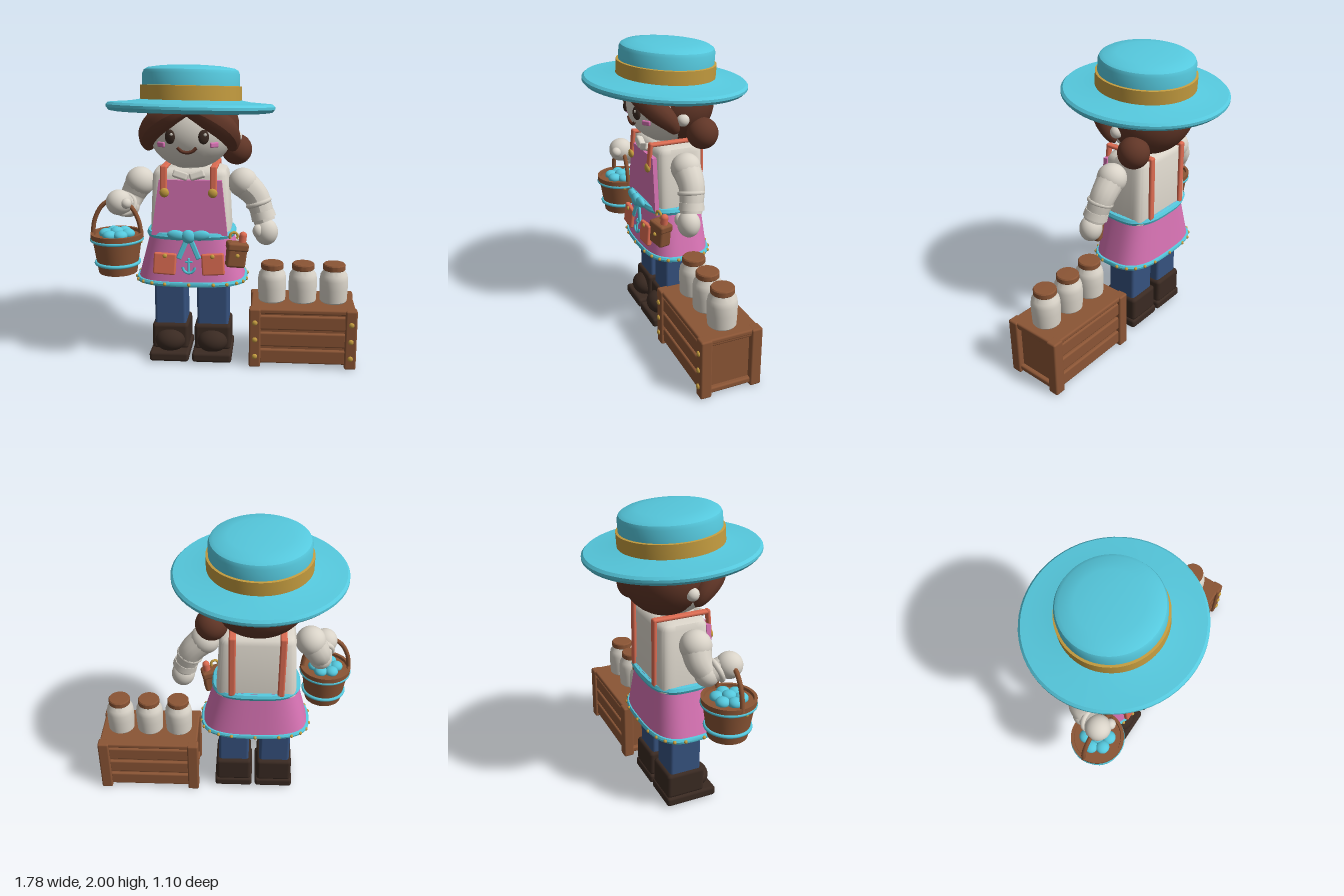
import * as THREE from 'three';
import { toCreasedNormals } from 'three/addons/utils/BufferGeometryUtils.js';
import { RoundedBoxGeometry } from 'three/addons/geometries/RoundedBoxGeometry.js';

const mat = (name, color) => Object.assign(new THREE.MeshStandardMaterial({ color }), { name });
const M = {
  aqua: mat('aqua', 0x55c8dd), pink: mat('pink', 0xd873b4), coral: mat('coral', 0xdd6c52),
  wood: mat('wood', 0x8b5535), hair: mat('hair brown', 0x613627), boot: mat('dark leather', 0x3a2a22),
  denim: mat('denim', 0x36527f), cream: mat('cream', 0xd9d3c8), gold: mat('gold', 0xc49c3f),
};
const V = (p) => new THREE.Vector3(...p);

function add(parent, name, geo, material, pos = [0, 0, 0], rot = [0, 0, 0]) {
  const m = new THREE.Mesh(geo, material);
  m.name = name;
  m.position.set(...pos);
  m.rotation.set(...rot);
  parent.add(m);
  return m;
}
const group = (parent, name, pos = [0, 0, 0], rot = [0, 0, 0]) => {
  const g = new THREE.Group();
  g.name = name;
  g.position.set(...pos);
  g.rotation.set(...rot);
  parent.add(g);
  return g;
};
const box = (w, h, d, r = 0.012) => new RoundedBoxGeometry(w, h, d, 2, r);
const ball = (rx, ry = rx, rz = rx) => new THREE.SphereGeometry(1, 28, 20).scale(rx, ry, rz);
const lathe = (pts, n = 48) => toCreasedNormals(new THREE.LatheGeometry(pts.map((p) => new THREE.Vector2(...p)), n), 0.6);
const ring = (r, t) => new THREE.TorusGeometry(r, t, 10, 40).rotateX(Math.PI / 2);

// Tube along a curve whose radius follows a rule
function taper(pts, radius, n = 24) {
  const curve = new THREE.CatmullRomCurve3(pts.map(V));
  const g = new THREE.TubeGeometry(curve, n, 1, 14);
  const pos = g.attributes.position, v = new THREE.Vector3();
  for (let i = 0; i < pos.count; i++) {
    const t = Math.floor(i / 15) / n, c = curve.getPointAt(t);
    v.fromBufferAttribute(pos, i).sub(c).multiplyScalar(radius(t)).add(c);
    pos.setXYZ(i, v.x, v.y, v.z);
  }
  g.computeVertexNormals();
  return g;
}
const bulge = (r, p = 0.5) => (t) => r * Math.pow(Math.max(0, Math.sin(Math.PI * t)), p);

// Point on a rounded-rectangle outline
const outline = (a, rx, rz, e) => {
  const c = Math.cos(a), s = Math.sin(a);
  return [rx * Math.sign(c) * Math.abs(c) ** (2 / e), rz * Math.sign(s) * Math.abs(s) ** (2 / e)];
};
// Stack of rounded-rectangle sections [y, half width, half depth]
function loft(sections, e = 3, n = 64) {
  const pos = [], idx = [];
  for (const [y, rx, rz] of sections)
    for (let j = 0; j < n; j++) {
      const [x, z] = outline((j / n) * 2 * Math.PI, rx, rz, e);
      pos.push(x, y, z);
    }
  for (let i = 0; i < sections.length - 1; i++)
    for (let j = 0; j < n; j++) {
      const k = (j + 1) % n, a = i * n + j, b = a + n, c = (i + 1) * n + k, d = i * n + k;
      idx.push(a, b, d, b, c, d);
    }
  const g = new THREE.BufferGeometry();
  g.setAttribute('position', new THREE.Float32BufferAttribute(pos, 3));
  g.setIndex(idx);
  g.computeVertexNormals();
  return toCreasedNormals(g, 0.7);
}
const plate = (pts, depth) => new THREE.ExtrudeGeometry(new THREE.Shape(pts.map((p) => new THREE.Vector2(...p))), { depth, bevelEnabled: false });

function buildHat(f) {
  const hat = group(f, 'hat', [0, 1.725, 0], [-0.065, 0, -0.015]);
  add(hat, 'hatBrimAndCrown', lathe([[0, -0.035], [0.3, -0.035], [0.5, -0.03], [0.535, -0.025], [0.553, -0.005], [0.553, 0.012],
    [0.538, 0.027], [0.5, 0.03], [0.4, 0.037], [0.325, 0.05], [0.318, 0.13], [0.318, 0.215], [0.308, 0.238], [0.285, 0.252], [0.2, 0.265], [0.1, 0.271], [0, 0.272]], 64), M.aqua);
  add(hat, 'hatBand', lathe([[0.315, 0.043], [0.333, 0.046], [0.333, 0.138], [0.315, 0.141]], 64), M.gold);
}

function buildHead(f) {
  const head = group(f, 'head');
  add(head, 'face', ball(0.285, 0.26, 0.265), M.cream, [0, 1.58, 0]);
  add(head, 'backHair', ball(0.315, 0.275, 0.265), M.hair, [0, 1.6, -0.06]);
  add(head, 'hairBun', ball(0.105), M.hair, [0.295, 1.43, -0.14]);
  add(head, 'hairTie', new THREE.TorusGeometry(0.05, 0.02, 10, 24), M.aqua, [0.225, 1.46, -0.13], [0, Math.PI / 2, 0]);
  for (const s of [-1, 1]) {
    add(head, 'fringe', taper([[-0.04 * s, 1.745, 0.23], [0.1 * s, 1.7, 0.235], [0.225 * s, 1.61, 0.165], [0.275 * s, 1.52, 0.08], [0.275 * s, 1.44, 0.03]], bulge(0.082)), M.hair);
    add(head, 'ear', ball(0.042), M.cream, [0.295 * s, 1.535, 0]);
    add(head, 'eye', ball(0.035, 0.046, 0.018), M.boot, [0.107 * s, 1.56, 0.246], [0, 0.35 * s, 0]);
    add(head, 'eyeGlint', ball(0.01, 0.01, 0.005), M.cream, [0.107 * s + 0.012, 1.577, 0.263]);
    add(head, 'cheek', box(0.062, 0.034, 0.02, 0.009), M.pink, [0.17 * s, 1.505, 0.204], [0, 0.65 * s, 0]);
  }
  add(head, 'smile', taper([[-0.062, 1.492, 0.243], [-0.035, 1.468, 0.243], [0, 1.46, 0.243], [0.035, 1.468, 0.243], [0.062, 1.492, 0.243]], () => 0.011), M.hair);
}

function buildBody(f) {
  const body = group(f, 'body');
  add(body, 'shirt', loft([[0.88, 0, 0], [0.88, 0.272, 0.175], [1.29, 0.25, 0.165], [1.32, 0.235, 0.15], [1.335, 0.2, 0.12], [1.335, 0, 0]], 6), M.cream, [0, 0, -0.012]);
  add(body, 'neck', new THREE.CylinderGeometry(0.1, 0.1, 0.08, 24), M.cream, [0, 1.34, 0]);
  add(body, 'apronBib', plate([[-0.262, 0.9], [0.242, 0.9], [0.205, 1.27], [-0.205, 1.27]], 0.03), M.pink, [0.01, 0, 0.153]);
  for (const s of [-1, 1]) {
    add(body, 'collar', box(0.1, 0.05, 0.05), M.cream, [0.055 * s, 1.3, 0.165], [-0.3, 0, 0.3 * s]);
    add(body, 'frontStrap', box(0.046, 0.18, 0.025), M.coral, [0.163 * s, 1.275, 0.182], [-0.1, 0, 0]);
    add(body, 'shoulderStrap', box(0.046, 0.025, 0.38), M.coral, [0.163 * s, 1.348, -0.01]);
    add(body, 'backStrap', box(0.046, 0.46, 0.025), M.coral, [0.163 * s, 1.13, -0.19]);
    add(body, 'strapButton', ball(0.031, 0.031, 0.018), M.gold, [0.158 * s, 1.19, 0.198]);
  }
  // Apron skirt, belt and studded hem
  add(body, 'apronSkirt', loft([[0.57, 0.366, 0.228], [0.92, 0.272, 0.195]]), M.pink);
  add(body, 'belt', loft([[0.87, 0.27, 0.19], [0.875, 0.293, 0.21], [0.895, 0.302, 0.218], [0.915, 0.293, 0.21], [0.922, 0.26, 0.18]]), M.aqua);
  add(body, 'hem', loft([[0.553, 0, 0], [0.553, 0.36, 0.222], [0.56, 0.376, 0.236], [0.575, 0.38, 0.24], [0.588, 0.374, 0.234], [0.592, 0.35, 0.21]]), M.aqua);
  for (let i = 0; i < 22; i++) {
    const [x, z] = outline(((i + 0.5) / 22) * 2 * Math.PI, 0.378, 0.238, 3);
    add(body, 'hemStud', ball(0.012), M.gold, [x, 0.574, z]);
  }
  // Bow
  add(body, 'bowKnot', ball(0.045, 0.045, 0.03), M.aqua, [0, 0.905, 0.228]);
  for (const s of [-1, 1]) {
    add(body, 'bowLoop', ball(0.062, 0.034, 0.024), M.aqua, [0.078 * s, 0.912, 0.224], [0, 0, 0.12 * s]);
    add(body, 'bowTail', box(0.034, 0.15, 0.018, 0.008), M.aqua, [0.038 * s, 0.82, 0.218], [-0.1, 0, 0.4 * s]);
    // Pockets
    const pocket = group(body, 'pocket', [0.16 * s, 0.715, 0.218], [-0.1, 0, 0.06 * s]);
    add(pocket, 'pocketPanel', box(0.15, 0.145, 0.035), M.coral);
    add(pocket, 'pocketRivet', ball(0.015, 0.015, 0.01), M.gold, [0, 0.055, 0.02]);
  }
  // Anchor emblem
  const emblem = group(body, 'anchorEmblem', [0, 0.7, 0.223], [-0.1, 0, 0]);
  add(emblem, 'emblemShank', box(0.016, 0.1, 0.012, 0.005), M.aqua, [0, 0.005, 0]);
  add(emblem, 'emblemCrossbar', box(0.05, 0.014, 0.012, 0.005), M.aqua, [0, 0.03, 0]);
  add(emblem, 'emblemArms', new THREE.TorusGeometry(0.04, 0.009, 8, 20, Math.PI), M.aqua, [0, -0.005, 0], [0, 0, Math.PI]);
  // Tool pouch
  const pouch = group(body, 'toolPouch', [0.31, 0.775, 0.17], [0, 0.25, -0.13]);
  add(pouch, 'pouchBag', box(0.13, 0.17, 0.09, 0.018), M.wood);
  add(pouch, 'pouchFlap', box(0.142, 0.055, 0.1, 0.015), M.wood, [0, 0.055, 0]);
  add(pouch, 'pouchButton', ball(0.014), M.gold, [0, 0, 0.045]);
  add(pouch, 'toolHandle', new THREE.CapsuleGeometry(0.026, 0.08, 6, 14), M.coral, [0.03, 0.09, 0]);
  add(pouch, 'toolHook', new THREE.TorusGeometry(0.026, 0.009, 8, 18, 4.4), M.gold, [-0.032, 0.12, 0], [0, 0, -0.6]);
}

function buildArms(f) {
  const sleeve = (t) => 0.096 - 0.024 * t;
  const left = group(f, 'leftArm');
  add(left, 'shoulder', ball(0.1), M.cream, [0.345, 1.225, 0]);
  add(left, 'sleeve', taper([[0.345, 1.225, 0], [0.435, 1.13, 0], [0.495, 0.965, 0.03]], sleeve), M.cream);
  add(left, 'cuff', new THREE.CylinderGeometry(0.08, 0.084, 0.05, 28), M.cream, [0.482, 1.01, 0.02], [-0.15, 0, 0.3]);
  add(left, 'cuffRoll', ring(0.074, 0.016), M.cream, [0.452, 1.09, 0.01], [-0.1, 0, 0.35]);
  add(left, 'hand', ball(0.08, 0.09, 0.075), M.cream, [0.505, 0.9, 0.05]);
  add(left, 'thumb', ball(0.035, 0.045, 0.035), M.cream, [0.45, 0.915, 0.09]);
  const right = group(f, 'rightArm');
  add(right, 'shoulder', ball(0.1), M.cream, [-0.35, 1.225, 0]);
  add(right, 'upperSleeve', taper([[-0.35, 1.225, 0], [-0.4, 1.14, 0], [-0.43, 1.065, 0.04]], sleeve), M.cream);
  add(right, 'elbow', ball(0.078), M.cream, [-0.43, 1.062, 0.04]);
  add(right, 'forearm', taper([[-0.43, 1.062, 0.04], [-0.445, 1.09, 0.1], [-0.46, 1.12, 0.17]], () => 0.068), M.cream);
  add(right, 'cuffRoll', new THREE.TorusGeometry(0.068, 0.018, 10, 32), M.cream, [-0.443, 1.087, 0.095], [-0.4, 0, 0]);
  add(right, 'hand', ball(0.085), M.cream, [-0.465, 1.115, 0.17]);
  add(right, 'thumb', ball(0.035), M.cream, [-0.405, 1.12, 0.225]);
}

function buildLegs(f) {
  for (const s of [-1, 1]) {
    const leg = group(f, s < 0 ? 'rightLeg' : 'leftLeg', [0.146 * s, 0, 0]);
    add(leg, 'trouserLeg', box(0.215, 0.36, 0.22, 0.02), M.denim, [0, 0.41, 0]);
    add(leg, 'bootShaft', box(0.25, 0.185, 0.27, 0.025), M.boot, [0, 0.16, 0]);
    add(leg, 'bootToe', ball(0.105, 0.08, 0.09), M.boot, [0, 0.135, 0.12]);
    add(leg, 'bootSole', box(0.27, 0.068, 0.36, 0.02), M.boot, [0, 0.044, 0.04]);
  }
}

function buildBucket(root) {
  const b = group(root, 'bucket', [-0.715, 0, 0.168]);
  add(b, 'bucketBody', lathe([[0, 0.64], [0.128, 0.64], [0.163, 0.87], [0.174, 0.872], [0.175, 0.91], [0.155, 0.91], [0.152, 0.89], [0, 0.89]]), M.wood);
  for (const [r, y] of [[0.167, 0.868], [0.143, 0.708]]) add(b, 'bucketHoop', ring(r, 0.012), M.aqua, [0, y, 0]);
  for (let i = 0; i < 7; i++) {
    const a = (i / 6) * 2 * Math.PI, r = i < 6 ? 0.075 : 0;
    add(b, 'bucketBerry', ball(0.045, 0.034, 0.045), M.aqua, [r * Math.cos(a), i < 6 ? 0.902 : 0.915, r * Math.sin(a)]);
  }
  for (const s of [-1, 1]) add(b, 'handlePin', ball(0.016), M.gold, [0.16 * s, 0.86, 0.03]);
  add(b, 'bucketHandle', taper([[-0.165, 0.88, 0], [-0.145, 1.0, 0], [-0.085, 1.1, 0], [0, 1.135, 0], [0.085, 1.1, 0], [0.145, 1.0, 0], [0.165, 0.88, 0]], () => 0.015, 40), M.wood);
}

function buildCrate(root) {
  const c = group(root, 'crate', [0.53, 0, 0.03]);
  add(c, 'crateCore', box(0.64, 0.36, 0.34), M.wood, [0, 0.22, 0]);
  add(c, 'crateTop', box(0.7, 0.035, 0.4), M.wood, [0, 0.397, 0]);
  for (const sx of [-1, 1]) {
    for (const sz of [-1, 1]) {
      add(c, 'cornerPost', box(0.078, 0.415, 0.075), M.wood, [0.32 * sx, 0.2075, 0.172 * sz]);
    }
    for (const y of [0.08, 0.2, 0.32]) add(c, 'postStud', ball(0.018, 0.018, 0.012), M.gold, [0.32 * sx, y, 0.212]);
    for (const y of [0.04, 0.385]) add(c, 'sideRail', box(0.04, 0.04, 0.34), M.wood, [0.328 * sx, y, 0]);
  }
  for (const sz of [-1, 1])
    for (const y of [0.075, 0.195, 0.315]) add(c, 'slat', box(0.58, 0.1, 0.03), M.wood, [0, y, 0.178 * sz]);
  // Jars
  for (const x of [-0.21, 0, 0.21]) {
    const jar = group(c, 'jar', [x, 0.412, 0.003]);
    add(jar, 'jarBody', lathe([[0, 0], [0.082, 0], [0.092, 0.012], [0.096, 0.1], [0.096, 0.16], [0.09, 0.195], [0.076, 0.215], [0.07, 0.235], [0, 0.235]]), M.cream);
    add(jar, 'jarLid', lathe([[0, 0.225], [0.07, 0.225], [0.076, 0.232], [0.076, 0.262], [0.07, 0.27], [0, 0.272]]), M.wood);
  }
}

export function createModel() {
  const root = new THREE.Group();
  root.name = 'marketGardener';
  const figure = group(root, 'figure', [-0.23, 0, 0]);
  [buildHat, buildHead, buildBody, buildArms, buildLegs].forEach((build) => build(figure));
  buildBucket(root);
  buildCrate(root);
  return root;
}
